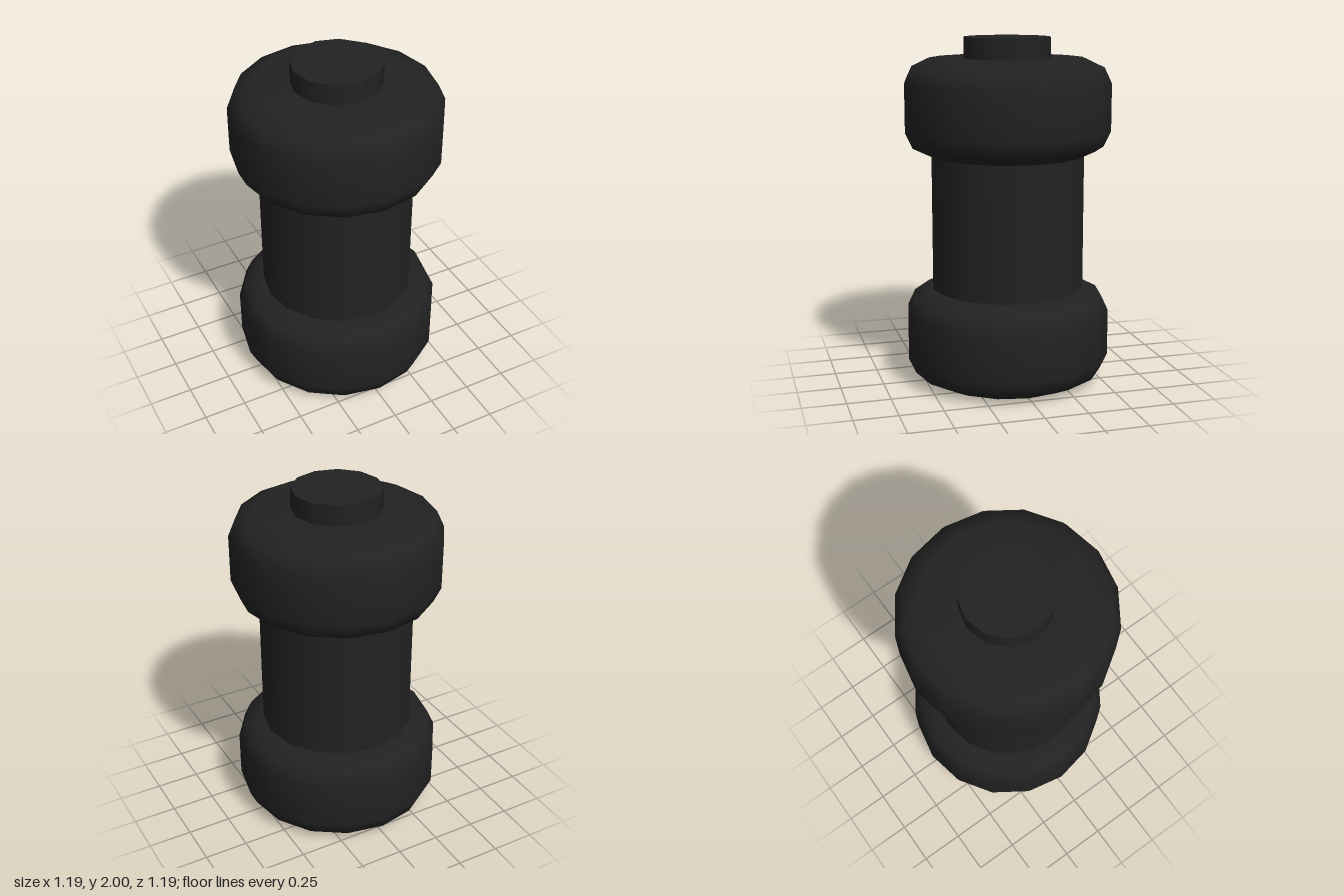
import * as THREE from 'three';

export function createModel() {
  const group = new THREE.Group();
  const black = new THREE.MeshStandardMaterial({ color: 0x222222 });

  const add = (name, geometry, y) => {
    const mesh = new THREE.Mesh(geometry, black);
    mesh.name = name;
    mesh.position.y = y;
    group.add(mesh);
  };

  // Rounded drum-shaped end, revolved from its bottom centre to its top centre
  const profile = [
    [0, 0], [0.45, 0], [0.555, 0.05], [0.597, 0.14],
    [0.597, 0.41], [0.555, 0.5], [0.45, 0.55], [0, 0.55],
  ].map(([r, y]) => new THREE.Vector2(r, y));
  const drum = new THREE.LatheGeometry(profile, 16);
  add('lowerDrum', drum, 0);
  add('upperDrum', drum, 1.33);

  // Straight column between the drums
  add('column', new THREE.CylinderGeometry(0.445, 0.445, 0.82, 16), 0.94);

  // Short stub on top
  add('topStub', new THREE.CylinderGeometry(0.254, 0.254, 0.16, 12), 1.92);

  return group;
}
